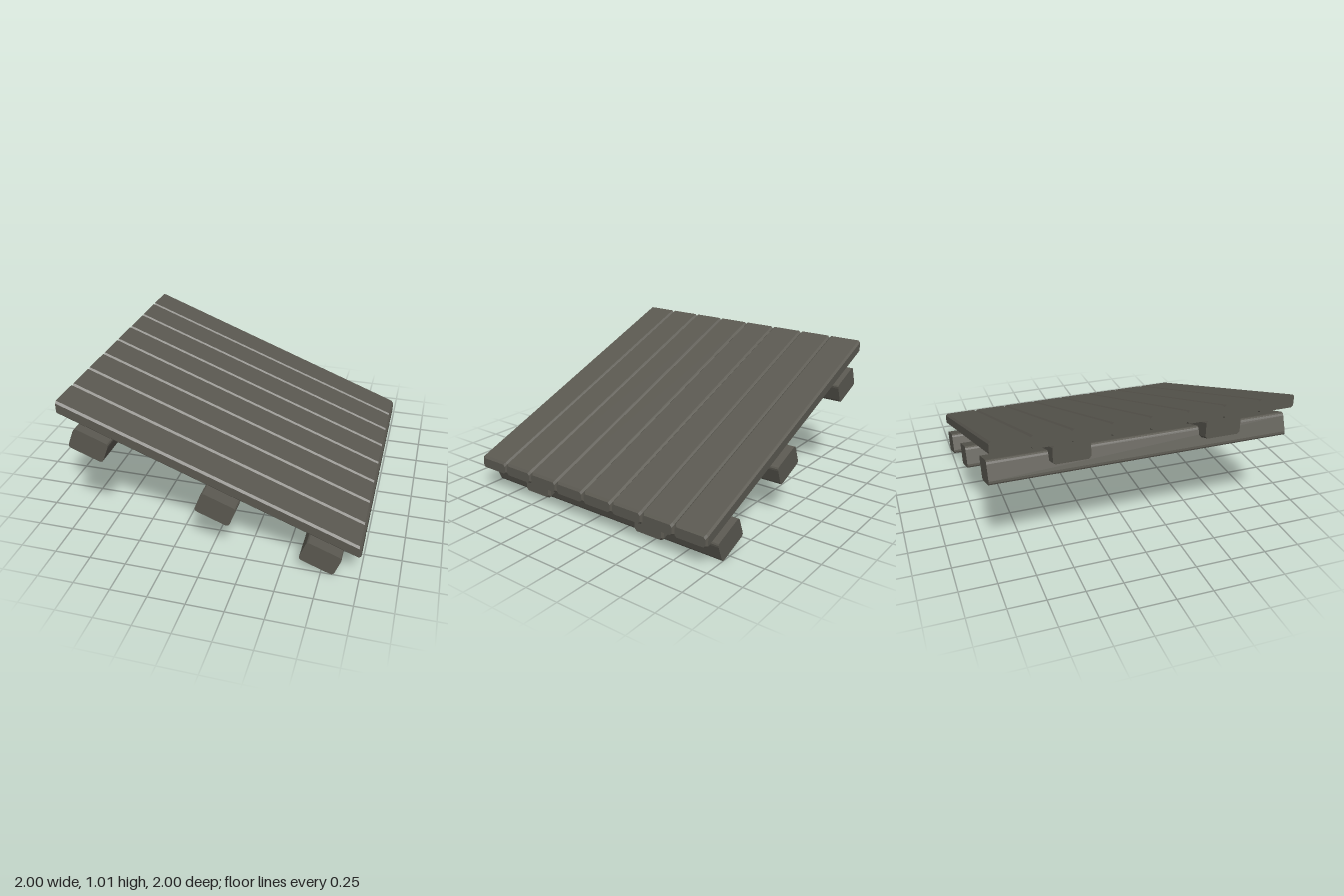
import * as THREE from 'three';

const SLOPE = 0.381;
const material = new THREE.MeshStandardMaterial({ color: 0x5a5850, flatShading: true });

// Chamfered octagonal cross-section as [across, up] pairs, counter-clockwise seen from +x
function section(w, h, c) {
  const a = w / 2, b = h / 2;
  return [[a - c, -b], [a, -b + c], [a, b - c], [a - c, b],
    [-a + c, b], [-a, b - c], [-a, -b + c], [-a + c, -b]];
}

// Timber running down the slope: plumb-cut at the top end, chamfered at the low end
function slopedTimber(name, x0, x1, yAtZero, z, w, h, c) {
  const ring = (x, inset) => section(w - 2 * inset, h - 2 * inset, c)
    .map(([s, y]) => [x, yAtZero + y - SLOPE * x, z - s]);
  const rings = [ring(x0, 0), ring(x1 - c, 0), ring(x1, c * 0.8)];
  const pos = [];
  const tri = (...pts) => pts.forEach((p) => pos.push(...p));
  for (let i = 0; i < 2; i++) {
    for (let j = 0; j < 8; j++) {
      const k = (j + 1) % 8;
      tri(rings[i][j], rings[i][k], rings[i + 1][k]);
      tri(rings[i][j], rings[i + 1][k], rings[i + 1][j]);
    }
  }
  for (let j = 1; j < 7; j++) {
    tri(rings[2][0], rings[2][j], rings[2][j + 1]);
    tri(rings[0][0], rings[0][j + 1], rings[0][j]);
  }
  const geo = new THREE.BufferGeometry();
  geo.setAttribute('position', new THREE.Float32BufferAttribute(pos, 3));
  geo.computeVertexNormals();
  const mesh = new THREE.Mesh(geo, material);
  mesh.name = name;
  return mesh;
}

// Cross beam along z, tilted with the slope, with eased long edges
function crossBeam(x, y) {
  const a = 0.125, b = 0.0775, r = 0.025;
  const s = new THREE.Shape();
  s.moveTo(-a + r, -b);
  s.lineTo(a - r, -b);
  s.quadraticCurveTo(a, -b, a, -b + r);
  s.lineTo(a, b - r);
  s.quadraticCurveTo(a, b, a - r, b);
  s.lineTo(-a + r, b);
  s.quadraticCurveTo(-a, b, -a, b - r);
  s.lineTo(-a, -b + r);
  s.quadraticCurveTo(-a, -b, -a + r, -b);
  const geo = new THREE.ExtrudeGeometry(s, { depth: 2, bevelEnabled: false, curveSegments: 3 });
  geo.translate(0, 0, -1);
  const mesh = new THREE.Mesh(geo, material);
  mesh.name = 'crossBeam';
  mesh.position.set(x, y, 0);
  mesh.rotation.z = -Math.atan(SLOPE);
  return mesh;
}

export function createModel() {
  const model = new THREE.Group();
  model.name = 'slopedRoofPanel';

  // Eight roof boards side by side
  const boards = new THREE.Group();
  boards.name = 'roofBoards';
  const pitch = 0.249;
  for (let i = 0; i < 8; i++) {
    boards.add(slopedTimber('roofBoard', -1, 1, 0.583, (i - 3.5) * pitch, pitch, 0.092, 0.014));
  }
  model.add(boards);

  // Two rafters under the boards
  for (const side of [-1, 1]) {
    model.add(slopedTimber('rafter', -1, 0.938, 0.474, side * 0.5, 0.24, 0.13, 0.016));
  }

  // Three cross beams carrying the rafters
  for (const [x, y] of [[-0.802, 0.715], [0.045, 0.365], [0.742, 0.113]]) {
    model.add(crossBeam(x, y));
  }
  return model;
}
